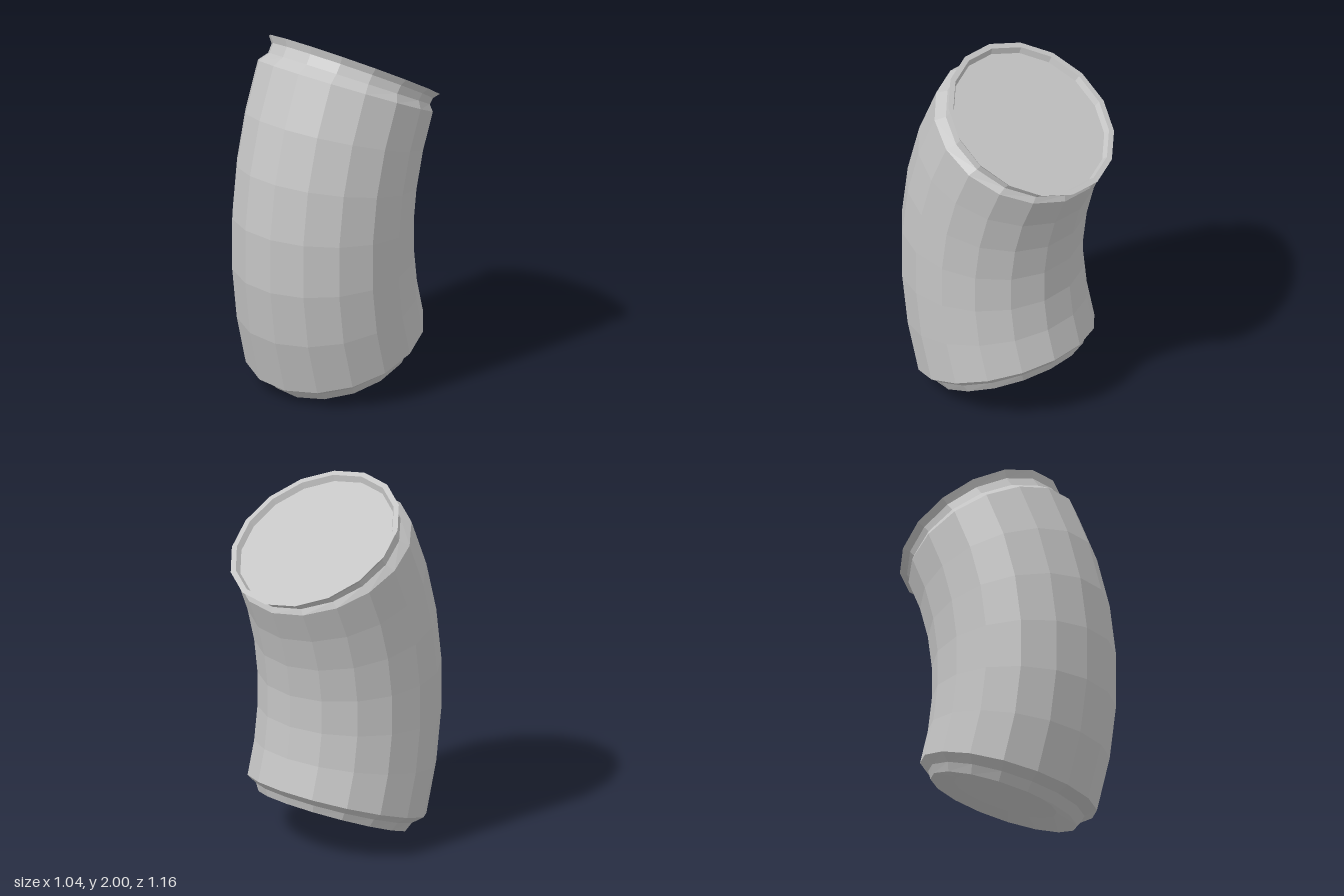
import * as THREE from 'three';

const SIDES = 16;
const BEND_RADIUS = 1.86;
const BEND_DIR = new THREE.Vector3(0.276, 0, -0.961); // leans back and slightly to +x
const BEND_AXIS = new THREE.Vector3(0, 1, 0).cross(BEND_DIR).normalize();
const MIDDLE = new THREE.Vector3(-0.042, 0.83, 0.095);

// One tilted cross-section; rise and lean default to the bend's arc.
function ring(degrees, radius, rise, lean) {
  const t = THREE.MathUtils.degToRad(degrees);
  rise ??= BEND_RADIUS * Math.sin(t);
  lean ??= BEND_RADIUS * (1 - Math.cos(t));
  const centre = MIDDLE.clone().addScaledVector(BEND_DIR, lean);
  centre.y += rise;
  return Array.from({ length: SIDES }, (_, i) => {
    const a = ((i + 0.5) / SIDES) * Math.PI * 2;
    return new THREE.Vector3(Math.cos(a) * radius, 0, Math.sin(a) * radius)
      .applyAxisAngle(BEND_AXIS, t).add(centre);
  });
}

// Skin consecutive rings; the walk goes up the outside.
function loft(rings) {
  const points = [];
  for (let k = 0; k < rings.length - 1; k++) {
    for (let i = 0; i < SIDES; i++) {
      const j = (i + 1) % SIDES;
      const a = rings[k][i], b = rings[k + 1][i], c = rings[k + 1][j], d = rings[k][j];
      if (a.distanceTo(d) > 1e-5) points.push(a, b, d);
      if (b.distanceTo(c) > 1e-5) points.push(b, c, d);
    }
  }
  const geometry = new THREE.BufferGeometry().setFromPoints(points);
  geometry.computeVertexNormals();
  return geometry;
}

export function createModel() {
  const group = new THREE.Group();
  group.name = 'bentPipe';
  const grey = new THREE.MeshStandardMaterial({ color: 0xc4c4c4, flatShading: true });
  grey.name = 'light grey';

  const add = (name, rings) => {
    const mesh = new THREE.Mesh(loft(rings), grey);
    mesh.name = name;
    group.add(mesh);
  };

  // Curved body, six equal bends
  const body = Array.from({ length: 7 }, (_, i) => ring(-18.75 + 7.5 * i, 0.495));
  add('pipeBody', body);

  // Stepped lower end with a shallow dished floor
  const foot = ring(-21.5, 0.415);
  add('bottomDish', [ring(-20.6, 0), ring(-20.6, 0.29), foot]);
  add('bottomCollar', [foot, ring(-20, 0.44), body[0]]);

  // Narrow neck flaring to a thin rim
  const rimOuter = ring(31, 0.49, 0.92, 0.267);
  const rimInner = ring(31, 0.46, 0.92, 0.267);
  add('neck', [body[6], ring(28.5, 0.46, 0.855, 0.222), ring(30.5, 0.462, 0.89, 0.25), rimOuter]);
  add('rim', [rimOuter, rimInner]);

  // Recessed disc closing the mouth
  add('mouthDisc', [rimInner, ring(31, 0.445, 0.892, 0.252), ring(31, 0, 0.892, 0.252)]);

  return group;
}
